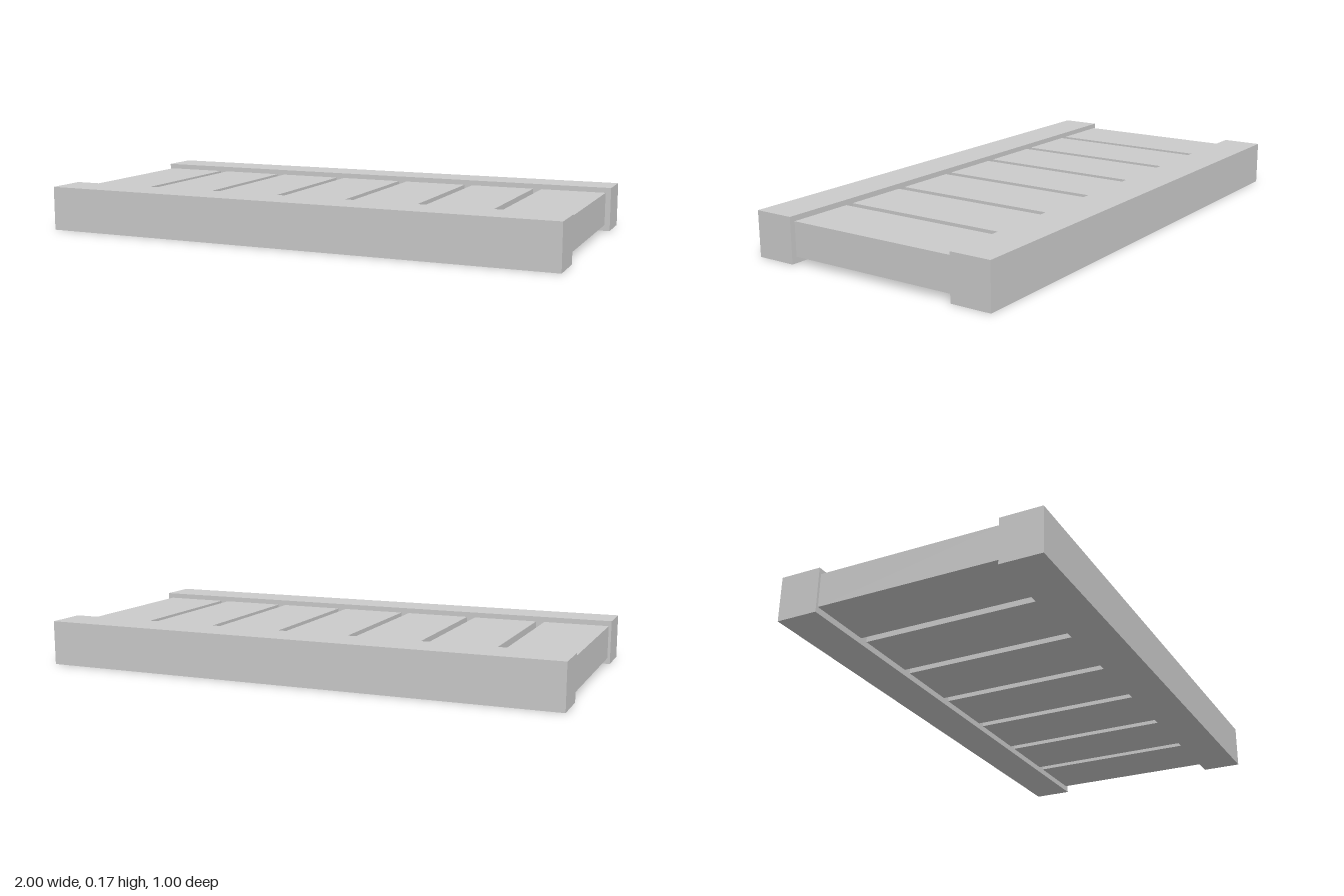
import * as THREE from 'three';

export function createModel() {
  const model = new THREE.Group();
  const material = new THREE.MeshStandardMaterial({ color: 0xcccccc, flatShading: true });

  function addBeam(name, [w, h, d], [x, y, z]) {
    const mesh = new THREE.Mesh(new THREE.BoxGeometry(w, h, d), material);
    mesh.name = name;
    mesh.position.set(x, y, z);
    model.add(mesh);
  }

  // Two long side rails
  const railHeight = 0.17, railDepth = 0.156;
  for (const [name, side] of [['frontRail', 1], ['backRail', -1]]) {
    addBeam(name, [2, railHeight, railDepth], [0, railHeight / 2, side * (0.5 - railDepth / 2)]);
  }

  // Seven planks spanning between the rails, with narrow gaps
  const plankCount = 7, spacing = 0.286;
  for (let i = 0; i < plankCount; i++) {
    const x = -0.005 + (i - (plankCount - 1) / 2) * spacing;
    addBeam(`plank${i + 1}`, [0.253, 0.127, 0.69], [x, 0.0865, 0]);
  }

  return model;
}
